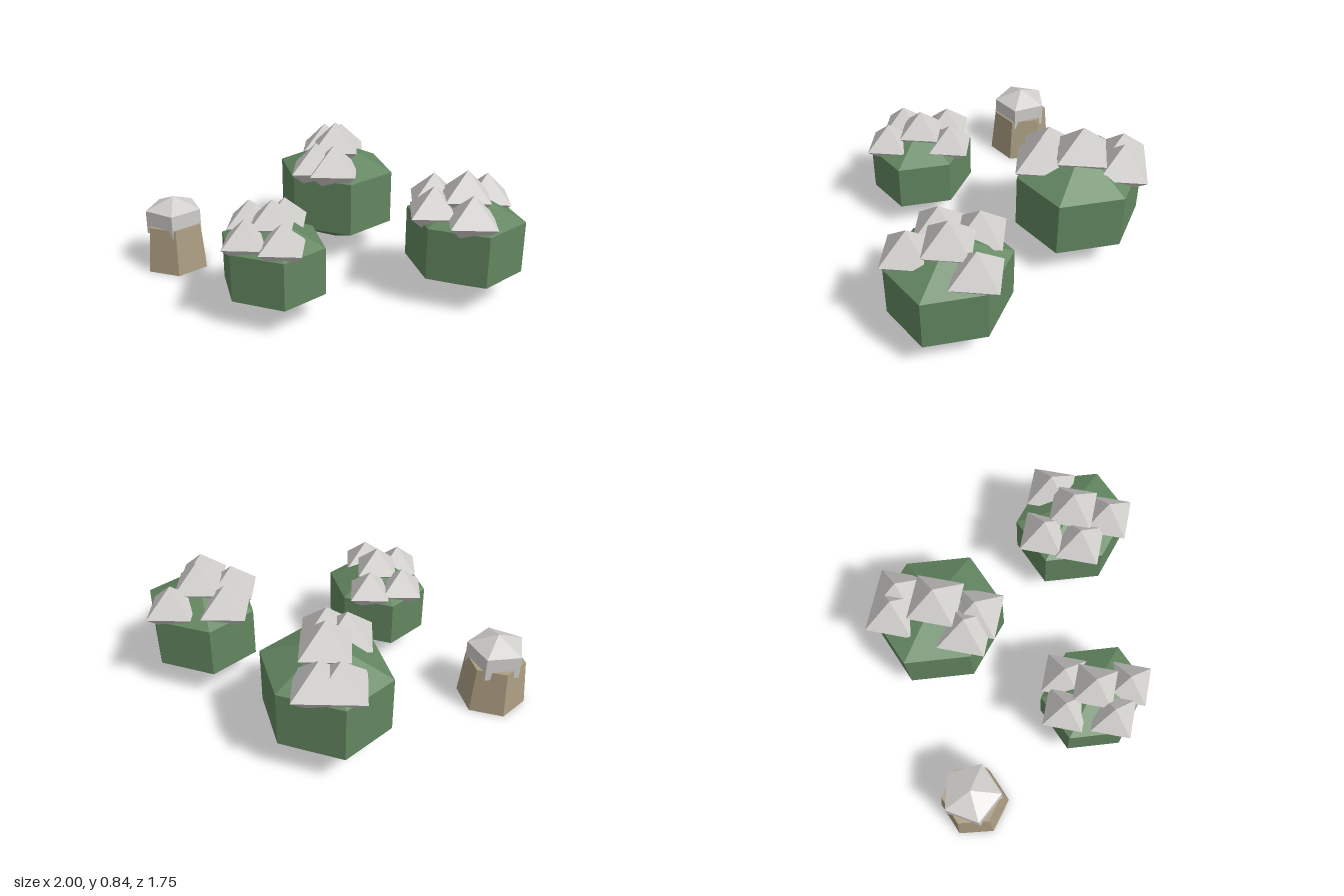
import * as THREE from 'three';

const mat = (name, color) => {
  const m = new THREE.MeshStandardMaterial({ color });
  m.name = name;
  return m;
};

// Faceted mesh: unshared corners give one normal per face
function faceted(name, geometry, material, x, y, z) {
  const geo = geometry.index ? geometry.toNonIndexed() : geometry;
  geo.computeVertexNormals();
  const mesh = new THREE.Mesh(geo, material);
  mesh.name = name;
  mesh.position.set(x, y, z);
  return mesh;
}

// Prism with a pointed top and bottom: sides span half the height
function gem(sides, rx, ry, rz, turn) {
  const k = 1 / Math.sin(Math.PI / 3);
  return new THREE.SphereGeometry(1, sides, 3).rotateY(turn).scale(rx * k, ry, rz * k);
}

// Each bush: centre, ring radius, half height, clump size, and clump centres [x, y, z]
const BUSHES = [
  { at: [-0.4, 0.37, -0.402], r: 0.399, h: 0.345, s: 0.2, clumps: [
    [-0.4, 0.67, -0.402], [-0.63, 0.59, -0.51], [-0.55, 0.59, -0.59],
    [-0.34, 0.59, -0.18], [-0.23, 0.59, -0.235]] },
  { at: [0.1, 0.31, 0.525], r: 0.325, h: 0.283, s: 0.164, clumps: [
    [0.1, 0.555, 0.52], [0, 0.493, 0.355], [-0.11, 0.493, 0.525],
    [0.287, 0.493, 0.605], [0.1, 0.493, 0.71]] },
  { at: [0.645, 0.338, -0.483], r: 0.362, h: 0.313, s: 0.185, clumps: [
    [0.645, 0.61, -0.483], [0.63, 0.54, -0.695], [0.415, 0.54, -0.46],
    [0.565, 0.54, -0.29], [0.81, 0.54, -0.34]] },
];

export function createModel() {
  const leaf = mat('leaf green', 0x638660);
  const snow = mat('snow grey', 0xd0cecb);
  const wood = mat('stump brown', 0xab9d82);
  const model = new THREE.Group();
  model.name = 'snowyBushesAndStump';

  // Bushes topped with snow clumps
  for (const { at, r, h, s, clumps } of BUSHES) {
    const bush = new THREE.Group();
    bush.name = 'bush';
    bush.add(faceted('foliage', gem(6, r, h, r * 0.905, Math.PI / 2), leaf, ...at));
    for (const c of clumps) {
      const clump = new THREE.OctahedronGeometry(s).scale(1, 0.85, 1);
      bush.add(faceted('snowClump', clump, snow, ...c));
    }
    model.add(bush);
  }

  // Tapered stump; the corners of its five-sided cap hang over the edge
  const stump = new THREE.Group();
  stump.name = 'stump';
  stump.add(faceted('trunk', new THREE.CylinderGeometry(0.18, 0.208, 0.295, 6), wood, -0.82, 0.1475, 0.605));
  stump.add(faceted('snowCap', gem(5, 0.177, 0.148, 0.177, 0), snow, -0.82, 0.315, 0.605));
  model.add(stump);

  return model;
}
